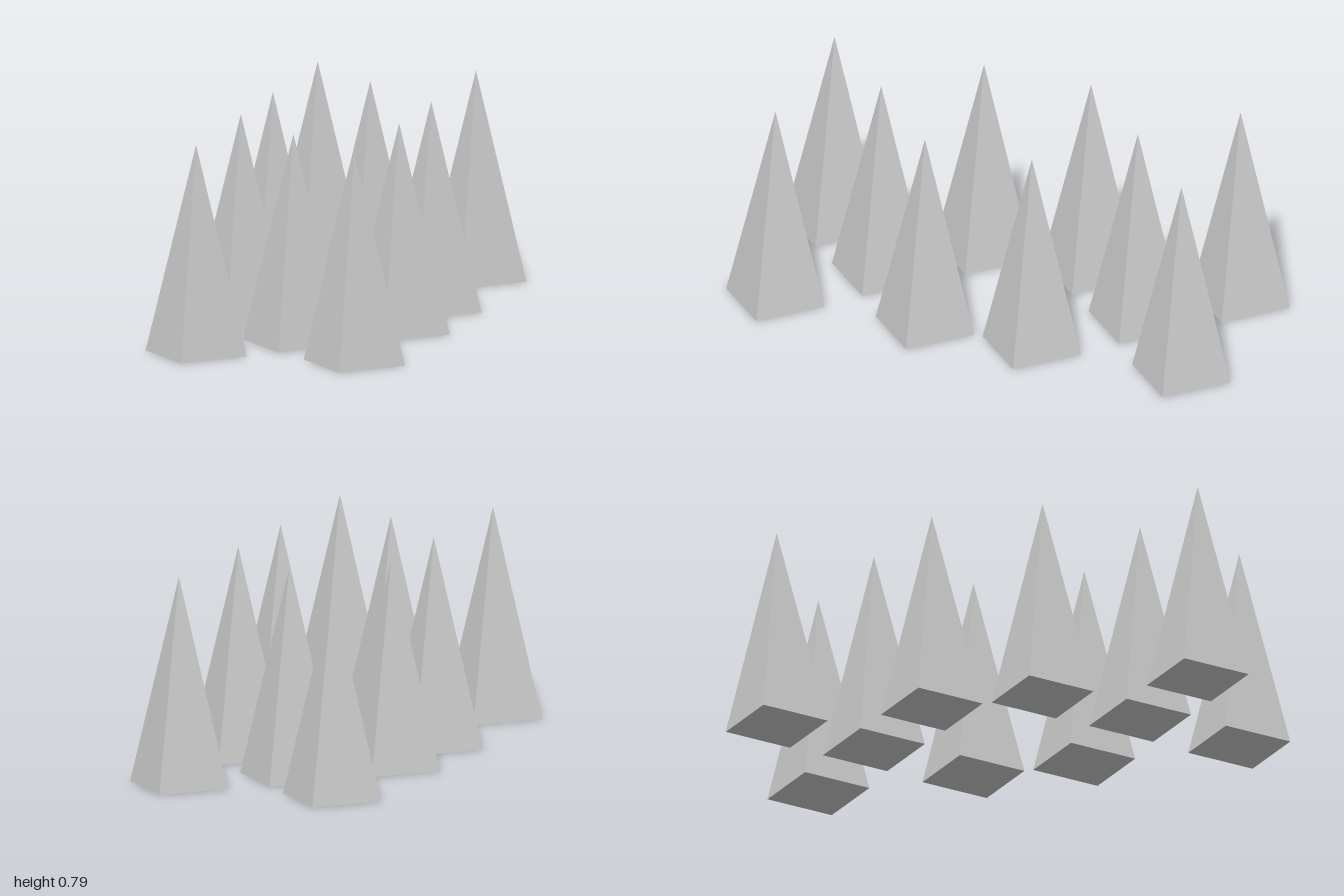
import * as THREE from 'three';

const RADIUS = 0.195;
const HEIGHT = 0.788;

export function createModel() {
  const group = new THREE.Group();
  group.name = 'spikeField';

  const material = new THREE.MeshStandardMaterial({ color: 0xcccccc, flatShading: true });

  // Four-sided spike with a closed base, its corners on the x and z axes
  const spikeGeometry = new THREE.ConeGeometry(RADIUS, HEIGHT, 4);
  spikeGeometry.translate(0, HEIGHT / 2, 0);

  function addSpike(name, x, z) {
    const spike = new THREE.Mesh(spikeGeometry, material);
    spike.name = name;
    spike.position.set(x, 0, z);
    group.add(spike);
  }

  // Two clusters of five, mirrored front to back
  for (const [end, side] of [['front', 1], ['back', -1]]) {
    for (const [row, z] of [['Outer', 0.805], ['Inner', 0.212]]) {
      addSpike(`${end}${row}LeftSpike`, 0.305, side * z);
      addSpike(`${end}${row}RightSpike`, -0.305, side * z);
    }
    // Centre spike, slightly off the middle line
    addSpike(`${end}CentreSpike`, -0.016, side * 0.509);
  }

  return group;
}
